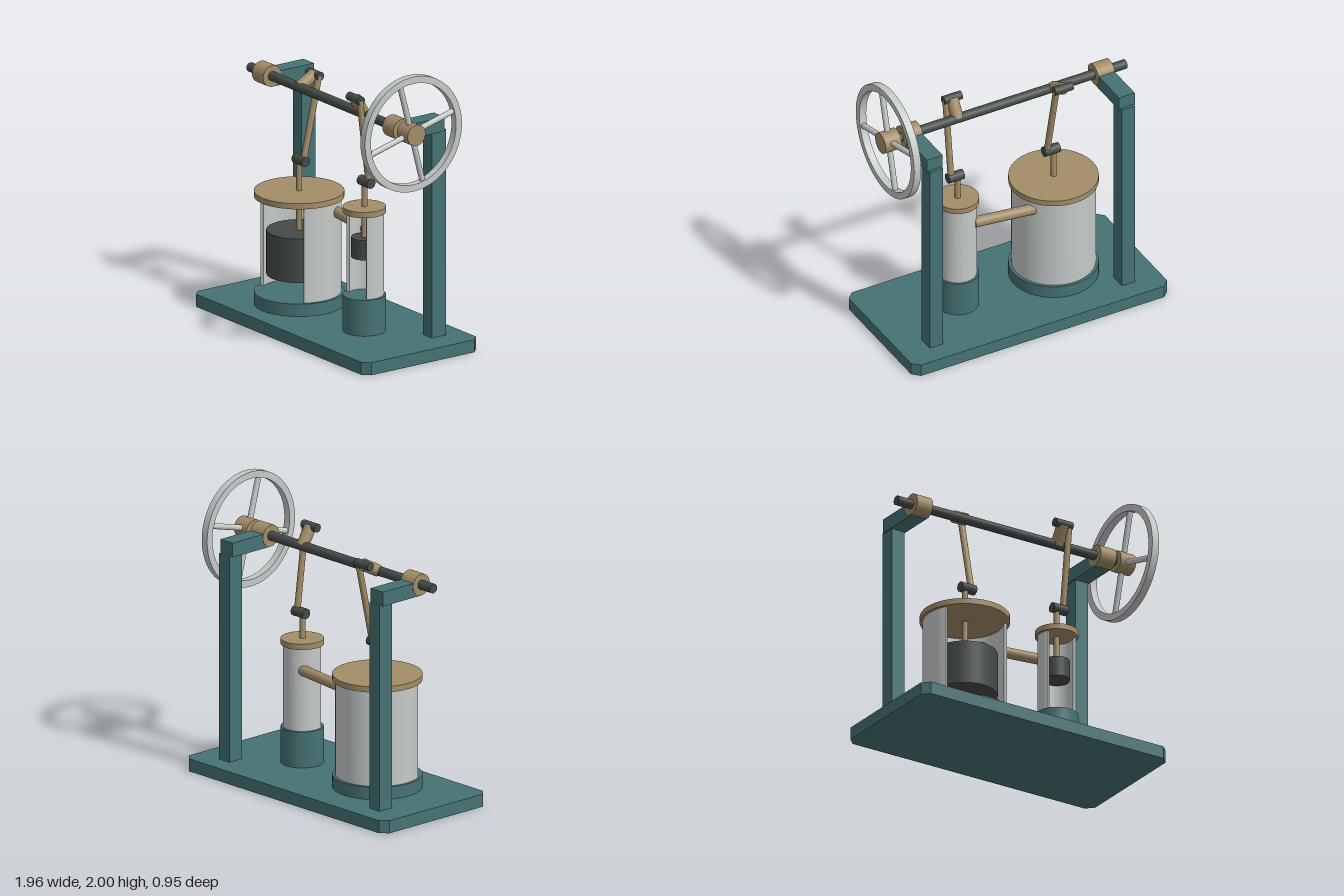
import * as THREE from 'three';
import { toCreasedNormals } from 'three/addons/utils/BufferGeometryUtils.js';

const flat = (name, color) => {
  const m = new THREE.MeshStandardMaterial({ color });
  m.name = name;
  return m;
};

export function createModel() {
  const teal = flat('teal paint', 0x467274);
  const brass = flat('brass', 0xa38d68);
  const dark = flat('dark iron', 0x444b48);
  const steel = flat('pale steel', 0xc4cac7);

  const model = new THREE.Group();
  const V = (x, y, z) => new THREE.Vector3(x, y, z);
  const UP = V(0, 1, 0);
  const AXIS_Y = 1.602, AXIS_Z = 0.035; // crankshaft centre line

  const add = (name, geo, mat, parent = model) => {
    const mesh = new THREE.Mesh(geo, mat);
    mesh.name = name;
    parent.add(mesh);
    return mesh;
  };
  const box = (name, mat, x0, x1, y0, y1, z0, z1) => {
    const mesh = add(name, new THREE.BoxGeometry(x1 - x0, y1 - y0, z1 - z0), mat);
    mesh.position.set((x0 + x1) / 2, (y0 + y1) / 2, (z0 + z1) / 2);
  };
  // round bar between two points
  const rod = (name, mat, a, b, r, parent = model, sides = 32) => {
    const d = b.clone().sub(a);
    const mesh = add(name, new THREE.CylinderGeometry(r, r, d.length(), sides), mat, parent);
    mesh.position.copy(a).add(b).multiplyScalar(0.5);
    mesh.quaternion.setFromUnitVectors(UP, d.normalize());
    return mesh;
  };
  const extrude = (shape, depth, curveSegments = 24) =>
    toCreasedNormals(new THREE.ExtrudeGeometry(shape, { depth, bevelEnabled: false, curveSegments }), 0.5);

  // base plate with clipped corners
  const X = 0.98, Z = 0.477, C = 0.05;
  const plate = new THREE.Shape([
    [-X + C, -Z], [X - C, -Z], [X, -Z + C], [X, Z - C],
    [X - C, Z], [-X + C, Z], [-X, Z - C], [-X, -Z + C],
  ].map(([x, y]) => new THREE.Vector2(x, y)));
  add('basePlate', extrude(plate, 0.088).rotateX(-Math.PI / 2), teal);

  // shaft supports and bearings
  for (const s of [-1, 1]) {
    const x = s * 0.735;
    box('supportPost', teal, x - 0.05, x + 0.05, 0.088, 1.533, -0.335, -0.22);
    box('supportArm', teal, x - 0.06, x + 0.06, 1.525, 1.625, -0.315, 0.035);
    rod('shaftBearing', brass, V(x - 0.063, AXIS_Y, AXIS_Z), V(x + 0.063, AXIS_Y, AXIS_Z), 0.075);
  }

  // crankshaft
  rod('crankshaft', dark, V(-0.917, AXIS_Y, AXIS_Z), V(0.9, AXIS_Y, AXIS_Z), 0.033);

  // cylinder wall, open over 120 degrees at the front
  const cutawayWall = (R, r, height) => {
    const a0 = -Math.PI / 6, a1 = Math.PI * 7 / 6;
    const s = new THREE.Shape();
    s.absarc(0, 0, R, a0, a1, false);
    s.absarc(0, 0, r, a1, a0, true);
    s.closePath();
    return extrude(s, height, 36).rotateX(-Math.PI / 2);
  };

  // one cylinder with its piston, rods and crank
  const engineCylinder = (name, o) => {
    const g = new THREE.Group();
    g.name = name;
    g.position.set(o.x, 0, AXIS_Z);
    model.add(g);
    rod('cylinderBase', teal, V(0, 0.088, 0), V(0, o.baseTop, 0), o.flange, g, 48);
    add('cutawayWall', cutawayWall(o.outer, o.inner, o.lidBottom - o.baseTop), steel, g).position.y = o.baseTop;
    rod('cylinderLid', brass, V(0, o.lidBottom, 0), V(0, o.lidBottom + 0.04, 0), o.flange, g, 48);
    rod('piston', dark, V(0, o.pistonBottom, 0), V(0, o.pistonTop, 0), o.piston, g, 40);
    rod('pistonRod', brass, V(0, o.pistonTop, 0), V(0, o.crossY, 0), 0.02, g, 20);
    rod('crosshead', dark, V(-0.039, o.crossY, 0), V(0.077, o.crossY, 0), 0.035, g, 24);
    // crank arm leans by o.angle from upright, positive to the front
    const py = AXIS_Y + 0.144 * Math.cos(o.angle), pz = 0.144 * Math.sin(o.angle);
    rod('crankArm', brass, V(0, AXIS_Y, 0), V(0, py, pz), 0.042, g, 24);
    rod('crankPin', dark, V(-0.068, py, pz), V(0.068, py, pz), 0.03, g, 24);
    rod('connectingRod', brass, V(0.05, o.crossY, 0), V(0.05, py, pz), 0.022, g, 20);
  };
  engineCylinder('largeCylinder', {
    x: -0.368, baseTop: 0.175, flange: 0.303, outer: 0.283, inner: 0.26, lidBottom: 0.84,
    piston: 0.22, pistonBottom: 0.297, pistonTop: 0.605, crossY: 1.096, angle: -1.08,
  });
  engineCylinder('smallCylinder', {
    x: 0.367, baseTop: 0.34, flange: 0.145, outer: 0.13, inner: 0.108, lidBottom: 0.917,
    piston: 0.088, pistonBottom: 0.602, pistonTop: 0.742, crossY: 1.132, angle: 0.55,
  });

  // transfer pipe between the cylinders
  rod('transferPipe', brass, V(-0.15, 0.764, -0.1), V(0.28, 0.764, -0.04), 0.037);

  // flywheel
  const wheel = new THREE.Group();
  wheel.name = 'flywheel';
  wheel.position.set(0.895, AXIS_Y, AXIS_Z);
  model.add(wheel);
  const ring = new THREE.Shape().absarc(0, 0, 0.402, 0, Math.PI * 2, false);
  ring.holes.push(new THREE.Path().absarc(0, 0, 0.354, 0, Math.PI * 2, true));
  add('wheelRim', extrude(ring, 0.053, 56).translate(0, 0, -0.0265).rotateY(Math.PI / 2), steel, wheel);
  rod('wheelHub', brass, V(-0.061, 0, 0), V(0.061, 0, 0), 0.074, wheel);
  for (let i = 0; i < 4; i++) {
    const a = 0.26 + i * Math.PI / 2;
    const dir = V(0, Math.cos(a), Math.sin(a));
    rod('wheelSpoke', steel, dir.clone().multiplyScalar(0.05), dir.clone().multiplyScalar(0.362), 0.02, wheel, 16);
  }
  return model;
}
